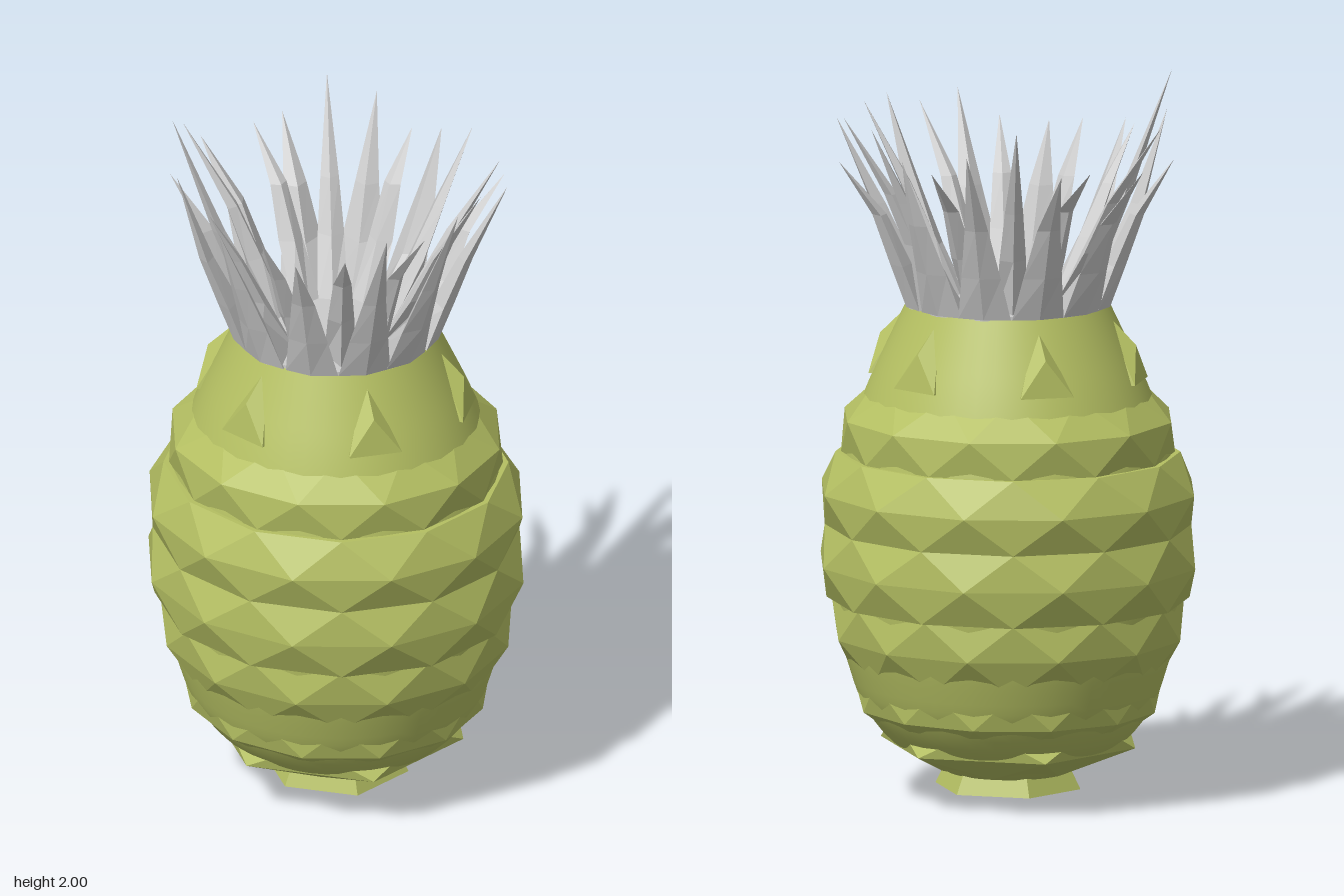
import * as THREE from 'three';
import { ConvexGeometry } from 'three/addons/geometries/ConvexGeometry.js';

const TAU = Math.PI * 2;
const polar = (a, r, y) => new THREE.Vector3(Math.sin(a) * r, y, Math.cos(a) * r);

// n points around the vertical axis
function ring(n, r, y, start = 0) {
  return Array.from({ length: n }, (_, i) => polar(start + (i / n) * TAU, r, y));
}

// Four-sided bent blade along +z: sections are [y, inner z, side z, outer z, half width]
function leafGeometry(sections) {
  const pos = [];
  const index = [];
  for (const [y, zin, zside, zout, w] of sections) {
    pos.push(0, y, zin, -w, y, zside, 0, y, zout, w, y, zside);
  }
  for (let s = 0; s < sections.length - 1; s++) {
    for (let i = 0; i < 4; i++) {
      const a = s * 4 + i, b = s * 4 + (i + 1) % 4;
      index.push(a, b, b + 4, a, b + 4, a + 4);
    }
  }
  const g = new THREE.BufferGeometry();
  g.setAttribute('position', new THREE.Float32BufferAttribute(pos, 3));
  g.setIndex(index);
  const flat = g.toNonIndexed();
  flat.computeVertexNormals();
  return flat;
}

export function createModel() {
  const model = new THREE.Group();
  model.name = 'pineapple';
  const skin = new THREE.MeshStandardMaterial({ color: 0xb4bf62 });
  const facetSkin = new THREE.MeshStandardMaterial({ color: 0xb4bf62, flatShading: true });
  const grey = new THREE.MeshStandardMaterial({ color: 0xcccccc, flatShading: true, side: THREE.DoubleSide });

  const fruit = new THREE.Group();
  fruit.name = 'fruit';
  fruit.scale.x = 0.965;
  model.add(fruit);
  const add = (name, geometry, material, parent) => {
    const mesh = new THREE.Mesh(geometry, material);
    mesh.name = name;
    parent.add(mesh);
    return mesh;
  };

  // Smooth core
  const side = new THREE.SplineCurve([
    [0.17, 0.075], [0.31, 0.15], [0.395, 0.25], [0.435, 0.35], [0.465, 0.47], [0.478, 0.65],
    [0.468, 0.83], [0.45, 0.95], [0.415, 1.06], [0.375, 1.16], [0.328, 1.26], [0.28, 1.36],
  ].map(([x, y]) => new THREE.Vector2(x, y))).getPoints(40);
  add('core', new THREE.LatheGeometry([new THREE.Vector2(0, 0.075), ...side], 48), skin, fruit);

  // Rows of diamond facets: mid height, spike radius, top and bottom radius
  const rows = [
    [0.25, 0.415, 0.43, 0.28], [0.45, 0.487, 0.485, 0.43], [0.65, 0.53, 0.505, 0.5],
    [0.85, 0.527, 0.475, 0.505], [1.05, 0.462, 0.36, 0.46],
  ];
  const step = TAU / 12;
  for (const [y, r, top, bottom] of rows) {
    add('facetRow', new ConvexGeometry([
      ...ring(12, r, y),
      ...ring(12, top, y + 0.1, step / 2),
      ...ring(12, bottom, y - 0.1, step / 2),
    ]), facetSkin, fruit);
  }

  // Lowest six-sided row
  add('bottomRow', new ConvexGeometry([
    ...ring(6, 0.36, 0.15, step), ...ring(6, 0.33, 0.24), ...ring(6, 0.19, 0.08),
  ]), facetSkin, fruit);

  // Six small spikes near the top
  for (let i = 0; i < 6; i++) {
    const a = step + i * step * 2;
    const tip = polar(a, 0.362, 1.26);
    const points = [tip, polar(a - 0.2, 0.385, 1.16), polar(a + 0.2, 0.385, 1.16),
      polar(a - 0.2, 0.28, 1.16), polar(a + 0.2, 0.28, 1.16), polar(a, 0.27, 1.35)];
    add('upperSpike', new ConvexGeometry(points), facetSkin, fruit);
  }

  // Stalk stub
  add('stalk', new ConvexGeometry([
    ...ring(6, 0.175, 0.09, step), ...ring(6, 0.205, 0.03, step), new THREE.Vector3(0, 0, 0),
  ]), facetSkin, fruit);

  // Crown of leaves on a twelve-sided plate
  const crown = new THREE.Group();
  crown.name = 'crown';
  model.add(crown);
  add('crownPlate', new THREE.CylinderGeometry(0.278, 0.278, 0.012, 12), grey, crown).position.y = 1.362;

  let seed = 7;
  const random = () => (seed = (seed * 16807) % 2147483647) / 2147483647;
  for (let i = 0; i < 24; i++) {
    const inner = i % 2 === 1;
    const a = i * step / 2;
    const reach = 0.42 + 0.075 * Math.abs(Math.cos(a)) + (random() - 0.5) * 0.05;
    const tipY = i === 15 ? 2 : (inner ? 1.84 : 1.81) + (random() - 0.5) * 0.16;
    const sections = inner
      ? [[1.36, 0.145, 0.155, 0.24, 0.041], [1.52, 0.225, 0.25, 0.28, 0.036],
        [1.66, 0.3, 0.315, 0.335, 0.025], [tipY, reach - 0.03, reach - 0.03, reach - 0.03, 0]]
      : [[1.36, 0.16, 0.268, 0.285, 0.073], [1.48, 0.27, 0.31, 0.33, 0.055],
        [1.62, 0.34, 0.365, 0.38, 0.033], [tipY, reach, reach, reach, 0]];
    const leaf = add(inner ? 'innerLeaf' : 'outerLeaf', leafGeometry(sections), grey, crown);
    leaf.rotation.y = a + (random() - 0.5) * 0.1;
  }
  return model;
}
